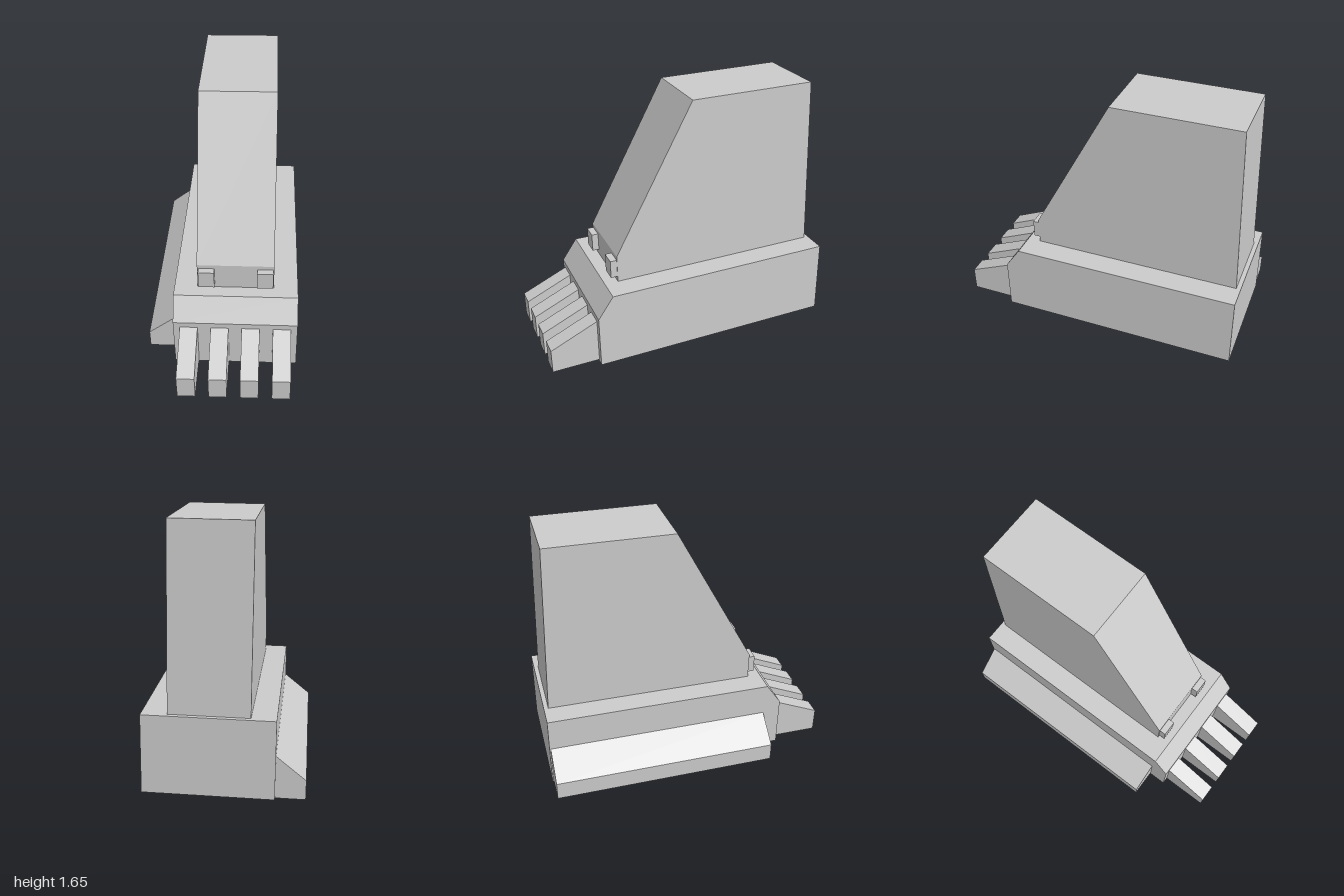
import * as THREE from 'three';

const material = new THREE.MeshStandardMaterial({ color: 0xcccccc, flatShading: true });

// Side outline (points in x, y) extruded from z0 to z1
function slab(name, points, z0, z1) {
  const shape = new THREE.Shape(points.map(([x, y]) => new THREE.Vector2(x, y)));
  const geometry = new THREE.ExtrudeGeometry(shape, { depth: z1 - z0, bevelEnabled: false });
  geometry.translate(0, 0, z0);
  const mesh = new THREE.Mesh(geometry, material);
  mesh.name = name;
  return mesh;
}

export function createModel() {
  const model = new THREE.Group();
  model.name = 'slopedTower';

  // Long axis runs along local x; the body leans very slightly
  const body = new THREE.Group();
  body.name = 'body';
  body.rotation.set(-0.012, 0, 0.006);
  body.position.y = 0.0085;

  // Base with a chamfered front edge
  body.add(slab('base',
    [[-0.712, 0], [0.9, 0], [0.9, 0.496], [-0.61, 0.496], [-0.712, 0.35]], -0.343, 0.458));

  // Tower with a short upright front, a long front slope and a slightly tapered rear
  body.add(slab('tower',
    [[-0.522, 0.49], [0.871, 0.49], [0.835, 1.638], [0.006, 1.638], [-0.522, 0.677]], -0.192, 0.302));

  // Four sloping bars across the front
  for (let i = 0; i < 4; i++) {
    const z = -0.3 + i * 0.2;
    body.add(slab('frontBar',
      [[-1.022, 0.013], [-0.7, 0.013], [-0.7, 0.317], [-0.712, 0.312], [-1.022, 0.175]], z, z + 0.115));
  }

  // Small blocks on the tower's upright front
  for (const z of [-0.183, 0.194]) {
    body.add(slab('frontBlock',
      [[-0.565, 0.53], [-0.515, 0.53], [-0.515, 0.65], [-0.565, 0.65]], z, z + 0.103));
  }

  // Wedge along one long side; outline is drawn across the width, then turned
  const wedge = slab('sideWedge',
    [[-0.525, 0.01], [-0.34, 0.01], [-0.34, 0.28], [-0.525, 0.132]], 0, 1.485);
  wedge.geometry.rotateY(-Math.PI / 2);
  wedge.geometry.translate(0.892, 0, 0);
  body.add(wedge);

  // Turn the whole body to its diagonal heading
  const heading = new THREE.Group();
  heading.name = 'heading';
  heading.rotation.y = 0.64;
  heading.add(body);
  model.add(heading);
  return model;
}
